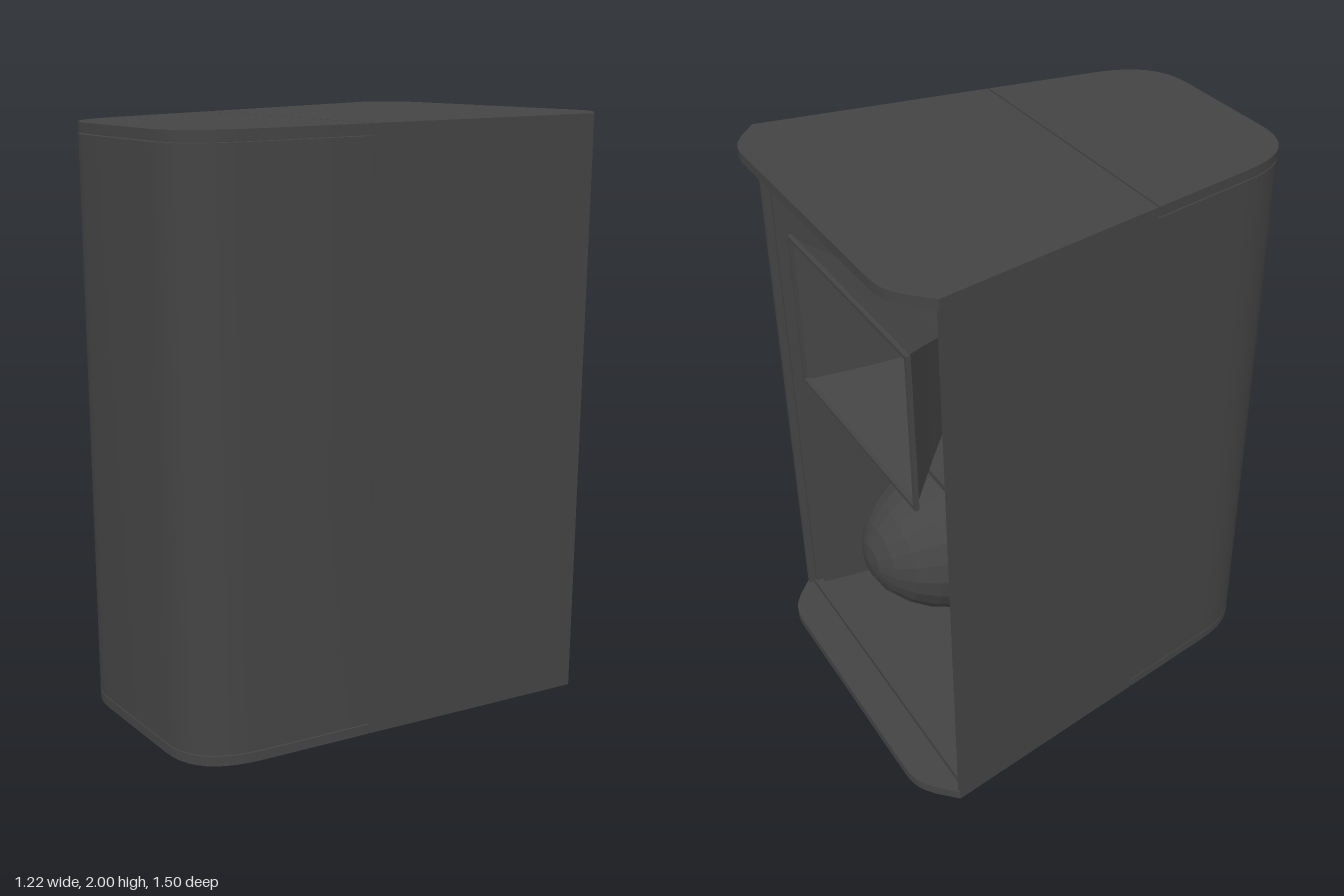
import * as THREE from 'three';
import { toCreasedNormals } from 'three/addons/utils/BufferGeometryUtils.js';

const SEAM = 0.145, GAP = 0.003, BACK = -0.64, LID = 0.033;
const halfWidth = z => 0.61 - 0.16 * (z - BACK);        // tapering side walls
const floorY = z => 0.01 - 0.0133 * z;                  // underside slope
const roofY = z => 1.986 - 0.0165 * z;                  // top slope
const V = (x, z) => new THREE.Vector2(x, z);

export function createModel() {
  const model = new THREE.Group();
  const mat = new THREE.MeshStandardMaterial({ color: 0x444444 });
  const thin = new THREE.MeshStandardMaterial({ color: 0x444444, side: THREE.DoubleSide });

  function add(parent, name, geo, x = 0, y = 0, z = 0, material = mat) {
    const mesh = new THREE.Mesh(geo, material);
    mesh.name = name;
    mesh.position.set(x, y, z);
    parent.add(mesh);
    return mesh;
  }

  // Raise a plan outline of (x, z) points between two sloped surfaces
  function prism(points, low, high) {
    const shape = new THREE.Shape(points.map(p => V(p.x, -p.y)));
    const geo = new THREE.ExtrudeGeometry(shape, { depth: 1, bevelEnabled: false });
    geo.rotateX(-Math.PI / 2);
    const p = geo.attributes.position;
    for (let i = 0; i < p.count; i++) {
      const z = p.getZ(i);
      p.setY(i, p.getY(i) < 0.5 ? low(z) : high(z));
    }
    return toCreasedNormals(geo, 0.4);
  }
  const mirrored = half => [...half, ...half.map(p => V(-p.x, p.y)).reverse()];

  // Plan outlines, +x side first
  const frontZ = SEAM + GAP, rearZ = SEAM - GAP;
  const frontHalf = [V(halfWidth(frontZ), frontZ),
    ...new THREE.QuadraticBezierCurve(V(halfWidth(0.52), 0.52), V(0.39, 0.75), V(0.2, 0.75)).getPoints(10)];
  const front = mirrored(frontHalf);
  const rear = mirrored([V(halfWidth(rearZ), rearZ), V(halfWidth(BACK), BACK), V(0.55, -0.70),
    ...new THREE.QuadraticBezierCurve(V(0.53, -0.715), V(0.49, -0.75), V(0.42, -0.75)).getPoints(6)]);

  // Top and bottom plates, split at the seam
  for (const [name, outline] of [['front', front], ['rear', rear]]) {
    add(model, name + 'TopPlate', prism(outline, z => roofY(z) - LID, roofY));
    add(model, name + 'BottomPlate', prism(outline, floorY, z => floorY(z) + LID));
  }

  // Curved front shell
  const inner = front.map(p => V(p.x * 0.94, frontZ + (p.y - frontZ) * 0.96)).reverse();
  add(model, 'frontShell', prism([...front, ...inner],
    z => floorY(z) + LID + 0.004, z => roofY(z) - LID - 0.004));

  // Side walls with slotted inner liners, built for +x and mirrored
  const slot = (s, y, w, h) => {
    const r = 0.07, path = new THREE.Path();
    path.moveTo(s + r, y);
    path.lineTo(s + w - r, y).quadraticCurveTo(s + w, y, s + w, y + r);
    path.lineTo(s + w, y + h - r).quadraticCurveTo(s + w, y + h, s + w - r, y + h);
    path.lineTo(s + r, y + h).quadraticCurveTo(s, y + h, s, y + h - r);
    path.lineTo(s, y + r).quadraticCurveTo(s, y, s + r, y);
    return path;
  };
  const liner = new THREE.Shape([V(0, 0.045), V(0.77, 0.045), V(0.77, 1.95), V(0, 1.95)]);
  liner.holes.push(slot(0.215, 0.3, 0.21, 0.5), slot(0.215, 1.17, 0.21, 0.47));
  for (const side of [1, -1]) {
    const wall = new THREE.Group();
    wall.name = side > 0 ? 'leftWall' : 'rightWall';
    wall.scale.x = side;
    add(wall, 'outerWall', prism([V(halfWidth(rearZ), rearZ), V(halfWidth(BACK), BACK),
      V(halfWidth(BACK) - 0.015, BACK), V(halfWidth(rearZ) - 0.015, rearZ)],
      z => floorY(z) + LID, z => roofY(z) - LID));
    const panel = add(wall, 'slottedLiner', new THREE.ExtrudeGeometry(liner, { depth: 0.018, bevelEnabled: false }),
      halfWidth(rearZ) - 0.034, 0, rearZ);
    panel.rotation.y = Math.PI / 2 - Math.atan(0.16);
    model.add(wall);
  }

  // Lips around the open back
  add(model, 'bottomLip', new THREE.BoxGeometry(1.16, 0.02, 0.03), 0, 0.06, -0.61);
  add(model, 'topLip', new THREE.BoxGeometry(1.16, 0.02, 0.03), 0, 1.955, -0.61);

  // Baffle with two driver openings
  const baffle = new THREE.Shape([V(-0.47, 0.045), V(0.47, 0.045), V(0.47, 1.945), V(-0.47, 1.945)]);
  const driverHeights = [0.62, 1.45];
  for (const y of driverHeights) baffle.holes.push(new THREE.Path().absarc(0, y, 0.33, 0, Math.PI * 2, true));
  add(model, 'baffle', new THREE.ExtrudeGeometry(baffle, { depth: 0.04, bevelEnabled: false, curveSegments: 24 }), 0, 0, 0.09);

  // Drivers: rim, cone, magnet hub and basket arms
  const alongZ = geo => geo.rotateX(Math.PI / 2);
  for (const y of driverHeights) {
    const driver = new THREE.Group();
    driver.name = y < 1 ? 'lowerDriver' : 'upperDriver';
    driver.position.y = y;
    add(driver, 'rim', alongZ(new THREE.LatheGeometry(
      [V(0.28, 0.13), V(0.28, 0.09), V(0.37, 0.07), V(0.37, 0.09), V(0.33, 0.09), V(0.31, 0.17), V(0.28, 0.13)], 32)), 0, 0, 0, thin);
    add(driver, 'cone', alongZ(new THREE.LatheGeometry([V(0, 0.0), V(0.08, 0.0), V(0.29, 0.13)], 32)), 0, 0, 0, thin);
    add(driver, 'magnetHub', alongZ(new THREE.CylinderGeometry(0.13, 0.13, 0.08, 24)), 0, 0, -0.1);
    for (let i = 0; i < 6; i++) {
      const spoke = new THREE.Group();
      spoke.name = 'basketSpoke';
      spoke.rotation.z = (i + 0.5) * Math.PI / 3;
      const arm = add(spoke, 'basketArm', new THREE.BoxGeometry(0.3, 0.07, 0.03), 0.22, 0, 0);
      arm.rotation.y = -0.65;
      driver.add(spoke);
    }
    model.add(driver);
  }

  // Egg-shaped plug behind the lower driver
  const eggMat = new THREE.MeshStandardMaterial({ color: 0x444444, flatShading: true });
  add(model, 'eggPlug', alongZ(new THREE.SphereGeometry(1, 20, 14)).scale(0.29, 0.29, 0.44), 0, 0.62, -0.2, eggMat);

  // Shelf between the two chambers
  add(model, 'shelf', prism([V(0.48, 0.09), V(0.54, -0.44), V(-0.54, -0.44), V(-0.48, 0.09)], () => 0.99, () => 1.01));

  // Flared rectangular horn
  const horn = new THREE.Group();
  horn.name = 'horn';
  horn.position.y = 1.42;
  const steps = 12;
  const section = i => {
    const t = i / steps;
    const w = 0.045 + 0.35 * Math.pow(t, 1.35), h = 0.05 + 0.225 * Math.pow(t, 1.15), z = -0.15 - 0.485 * t;
    return [[-w, -h, z], [w, -h, z], [w, h, z], [-w, h, z]];
  };
  const pos = [];
  for (let i = 0; i < steps; i++) {
    const a = section(i), b = section(i + 1);
    for (let k = 0; k < 4; k++) {
      const n = (k + 1) % 4;
      pos.push(...a[k], ...a[n], ...b[n], ...a[k], ...b[n], ...b[k]);
    }
  }
  const flare = new THREE.BufferGeometry();
  flare.setAttribute('position', new THREE.Float32BufferAttribute(pos, 3));
  flare.computeVertexNormals();
  add(horn, 'hornFlare', toCreasedNormals(flare, 0.5), 0, 0, 0, thin);
  const flange = new THREE.Shape([V(-0.405, -0.28), V(0.405, -0.28), V(0.405, 0.28), V(-0.405, 0.28)]);
  flange.holes.push(new THREE.Path([V(-0.392, -0.267), V(-0.392, 0.267), V(0.392, 0.267), V(0.392, -0.267)]));
  add(horn, 'mouthFlange', new THREE.ExtrudeGeometry(flange, { depth: 0.015, bevelEnabled: false }), 0, 0, -0.645);
  add(horn, 'compressionDriver', alongZ(new THREE.CylinderGeometry(0.1, 0.1, 0.06, 24)), 0, 0, -0.12);
  model.add(horn);

  return model;
}
